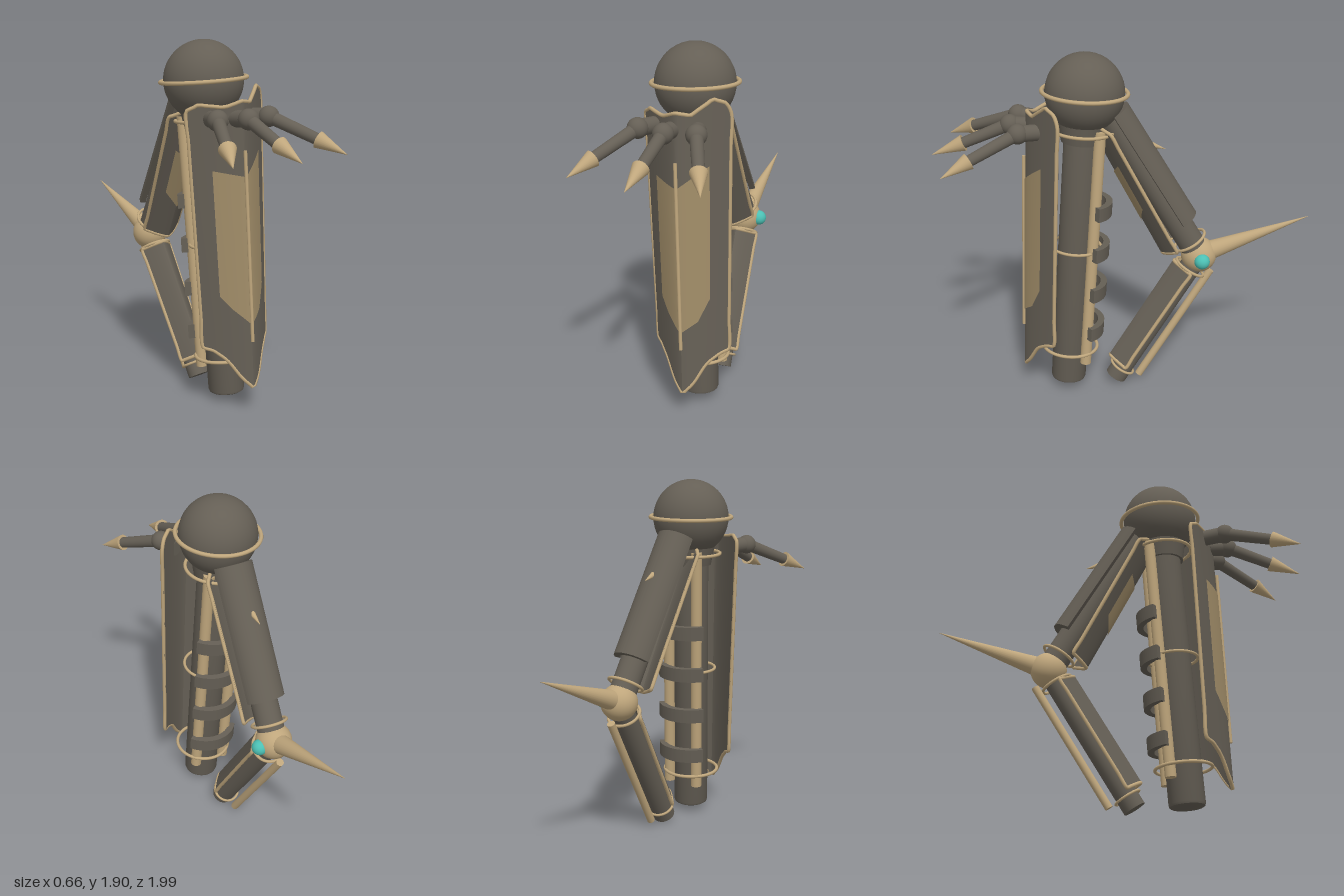
import * as THREE from 'three';
import { toCreasedNormals } from 'three/addons/utils/BufferGeometryUtils.js';

const dark = new THREE.MeshStandardMaterial({ color: 0x655f55, side: THREE.DoubleSide });
const tan = new THREE.MeshStandardMaterial({ color: 0xbfa67c });
const panelTan = new THREE.MeshStandardMaterial({ color: 0xa08c68, side: THREE.DoubleSide });
const teal = new THREE.MeshStandardMaterial({ color: 0x4cc0b4 });

const V = (x, y, z) => new THREE.Vector3(x, y, z);

function add(parent, name, geometry, material, x = 0, y = 0, z = 0) {
  const mesh = new THREE.Mesh(geometry, material);
  mesh.name = name;
  mesh.position.set(x, y, z);
  parent.add(mesh);
  return mesh;
}

// Straight rod or cone from a (radius ra) to b (radius rb)
function rod(parent, name, a, b, ra, rb, material) {
  const dir = b.clone().sub(a);
  const mid = a.clone().add(b).multiplyScalar(0.5);
  const mesh = add(parent, name, new THREE.CylinderGeometry(rb, ra, dir.length(), 24), material, mid.x, mid.y, mid.z);
  mesh.quaternion.setFromUnitVectors(V(0, 1, 0), dir.normalize());
  return mesh;
}

const ball = (parent, name, p, r, material) =>
  add(parent, name, new THREE.SphereGeometry(r, 32, 24), material, p.x, p.y, p.z);

const ring = (parent, name, r, tube, y, z = 0) =>
  add(parent, name, new THREE.TorusGeometry(r, tube, 10, 48).rotateX(Math.PI / 2), tan, 0, y, z);

// Curved band around the back (-z) of a limb
function band(parent, name, inner, outer, half, height, y) {
  const s = new THREE.Shape();
  s.absarc(0, 0, outer, Math.PI / 2 - half, Math.PI / 2 + half, false);
  s.absarc(0, 0, inner, Math.PI / 2 + half, Math.PI / 2 - half, true);
  const g = new THREE.ExtrudeGeometry(s, { depth: height, bevelEnabled: false, curveSegments: 24 });
  add(parent, name, toCreasedNormals(g.rotateX(-Math.PI / 2), 0.6), dark, 0, y, 0);
}

// Linear interpolation through [u, y] points
function profile(points) {
  return (u) => {
    for (let i = 1; i < points.length; i++) {
      const [u0, y0] = points[i - 1], [u1, y1] = points[i];
      if (u <= u1) return y0 + (y1 - y0) * (u - u0) / (u1 - u0);
    }
    return points[points.length - 1][1];
  };
}

// Ridged plate surface, with u across and v up, limited to |u| <= span
function plateSurface(form, top, bottom, span = 1, lift = 0) {
  const at = (u, v) => {
    const y = bottom(u) + (top(u) - bottom(u)) * v;
    return V(form.centre(y) + u * form.half(y), y, form.ridge(y) - form.depth * Math.abs(u) ** 1.35 + lift);
  };
  const nu = 32, nv = 8, pos = [], index = [];
  for (let j = 0; j <= nv; j++)
    for (let i = 0; i <= nu; i++) pos.push(...at((i / nu * 2 - 1) * span, j / nv).toArray());
  for (let j = 0; j < nv; j++)
    for (let i = 0; i < nu; i++) {
      const a = j * (nu + 1) + i, b = a + 1, c = a + nu + 1, d = c + 1;
      index.push(a, b, d, a, d, c);
    }
  const g = new THREE.BufferGeometry();
  g.setAttribute('position', new THREE.Float32BufferAttribute(pos, 3));
  g.setIndex(index);
  return { geometry: toCreasedNormals(g, 0.5), at };
}

// Plate with a raised tan trim around its border
function trimmedPlate(parent, name, form, top, bottom) {
  const { geometry, at } = plateSurface(form, top, bottom);
  add(parent, name, geometry, dark);
  const inner = plateSurface(form, top, bottom, 1, -0.016);
  add(parent, name + 'Back', inner.geometry, dark);
  const border = [];
  for (let i = 0; i < 20; i++) border.push(at(-1 + i / 10, 0));
  for (let i = 0; i < 8; i++) border.push(at(1, i / 8));
  for (let i = 0; i < 20; i++) border.push(at(1 - i / 10, 1));
  for (let i = 0; i < 8; i++) border.push(at(-1, 1 - i / 8));
  border.forEach((p) => { p.z -= 0.006; });
  const curve = new THREE.CatmullRomCurve3(border, true, 'centripetal');
  add(parent, name + 'Trim', new THREE.TubeGeometry(curve, 200, 0.01, 8, true), tan);
}

// Group whose local y runs from the lower end to the upper end, local z to the front
function limb(parent, name, lower, upper) {
  const g = new THREE.Group();
  g.name = name;
  const y = upper.clone().sub(lower).normalize();
  const z = V(1, 0, 0).cross(y).normalize();
  const x = y.clone().cross(z);
  g.quaternion.setFromRotationMatrix(new THREE.Matrix4().makeBasis(x, y, z));
  g.position.copy(lower);
  parent.add(g);
  return g;
}

export function createModel() {
  const model = new THREE.Group();
  model.name = 'mechanicalLimb';

  // Shoulder ball and its tilted ring
  ball(model, 'shoulderBall', V(0, 1.7, 0.2), 0.205, dark);
  ring(model, 'shoulderRing', 0.22, 0.011, 1.703, 0.2).rotation.set(-0.06, 0, 0.045);

  // Main column, measured from its lower end
  const column = limb(model, 'column', V(0.075, 0.05, 0.325), V(0, 1.7, 0.2));
  const profilePts = [[0, 0], [0.082, 0], [0.092, 0.006], [0.096, 0.018], [0.096, 1.55], [0, 1.55]];
  const shaft = new THREE.LatheGeometry(profilePts.map(([r, y]) => new THREE.Vector2(r, y)), 40);
  add(column, 'columnShaft', toCreasedNormals(shaft, 0.7), dark);
  add(column, 'columnCollar', new THREE.CylinderGeometry(0.13, 0.11, 0.1, 40), dark, 0, 1.45, 0);
  for (const side of [-1, 1])
    rod(column, 'columnRod', V(side * 0.09, 0.14, -0.084), V(side * 0.09, 1.48, -0.084), 0.03, 0.03, tan);
  for (let i = 0; i < 4; i++) band(column, 'backBand', 0.145, 0.18, 0.97, 0.075, 0.3 + i * 0.235);
  ring(column, 'lowerRing', 0.15, 0.009, 0.205);
  ring(column, 'middleRing', 0.135, 0.008, 0.81);
  ring(column, 'upperRing', 0.16, 0.009, 1.46);

  // Front armour plate with inlaid panel and ridge fin
  const armour = {
    centre: (y) => 0.08 - 0.036 * y, half: (y) => 0.19 + 0.022 * y,
    ridge: (y) => 0.575 - 0.045 * y, depth: 0.148,
  };
  trimmedPlate(model, 'frontArmour', armour,
    profile([[-1, 1.57], [-0.8, 1.6], [-0.35, 1.59], [0, 1.62], [0.3, 1.61], [0.7, 1.68], [0.9, 1.66], [1, 1.61]]),
    profile([[-1, 0.36], [-0.8, 0.345], [-0.55, 0.3], [-0.25, 0.2], [0, 0.15], [0.25, 0.2], [0.55, 0.31], [0.8, 0.35], [1, 0.37]]));
  add(model, 'armourPanel', plateSurface(armour,
    profile([[-0.65, 1.28], [0, 1.25], [0.65, 1.36]]),
    profile([[-0.65, 0.64], [-0.4, 0.57], [0, 0.49], [0.4, 0.55], [0.65, 0.67]]), 0.65, 0.006).geometry, panelTan);
  rod(model, 'ridgeFin', V(0.066, 0.4, 0.562), V(0.03, 1.38, 0.522), 0.009, 0.009, tan);

  // Three clawed fingers
  for (const s of [-1, 0, 1]) {
    const z = s ? 0 : 0.04;
    const knuckle = V(s * 0.152, 1.543, 0.545 + z);
    const wrist = V(s * 0.265, 1.45, 0.785 + z);
    const finger = new THREE.Group();
    finger.name = 'finger';
    model.add(finger);
    rod(finger, 'fingerStub', V(s * 0.115, 1.535, 0.44 + z), knuckle, 0.042, 0.042, dark);
    ball(finger, 'fingerKnuckle', knuckle, 0.052, dark);
    rod(finger, 'fingerRod', knuckle, wrist, 0.034, 0.029, dark);
    rod(finger, 'fingerClaw', wrist, V(s * 0.33, 1.39, s ? 0.92 : 0.99), 0.043, 0.001, tan);
  }

  // Upper arm with back shell, thorn and front plate
  const knee = V(0.04, 0.775, -0.405);
  const upper = limb(model, 'upperArm', knee, V(0, 1.62, 0.1));
  rod(upper, 'upperArmCore', V(0, 0.05, 0), V(0, 0.95, 0), 0.072, 0.072, dark);
  band(upper, 'upperArmShell', 0.08, 0.112, 1.35, 0.71, 0.23);
  ring(upper, 'upperArmRing', 0.092, 0.008, 0.1);
  const guard = { centre: () => 0, half: (y) => 0.1 + 0.035 * y, ridge: (y) => 0.175 - 0.06 * y, depth: 0.08 };
  trimmedPlate(upper, 'upperArmGuard', guard, profile([[-1, 0.88], [0, 1.02], [1, 0.88]]), () => 0.12);
  add(upper, 'guardPanel', plateSurface(guard, profile([[-0.6, 0.7], [0, 0.66], [0.6, 0.7]]),
    profile([[-0.6, 0.42], [0, 0.34], [0.6, 0.42]]), 0.6, 0.006).geometry, panelTan);
  rod(model, 'backThorn', V(0.01, 1.42, -0.115), V(0.01, 1.385, -0.215), 0.022, 0.001, tan);

  // Elbow ball, spike and jewels
  ball(model, 'elbowBall', knee, 0.097, tan);
  rod(model, 'elbowSpike', V(0.04, 0.8, -0.475), V(0.04, 0.98, -1), 0.052, 0.001, tan);
  ball(model, 'elbowJewel', V(0.13, 0.775, -0.41), 0.042, teal);

  // Lower arm with curved guard and rear strut
  const lower = limb(model, 'lowerArm', V(0.08, 0.04, 0.055), knee);
  rod(lower, 'lowerArmCore', V(0, 0, 0), V(0, 0.8, 0), 0.06, 0.06, dark);
  const shin = { centre: () => 0, half: (y) => 0.08 + 0.015 * y, ridge: () => 0.105, depth: 0.09 };
  trimmedPlate(lower, 'lowerArmGuard', shin, () => 0.77, () => 0.1);
  rod(lower, 'rearStrut', V(0, 0.07, -0.11), V(0, 0.82, -0.11), 0.021, 0.021, tan);
  ring(lower, 'lowerArmRing', 0.07, 0.007, 0.07);
  ring(lower, 'elbowRing', 0.085, 0.008, 0.78);

  return model;
}
